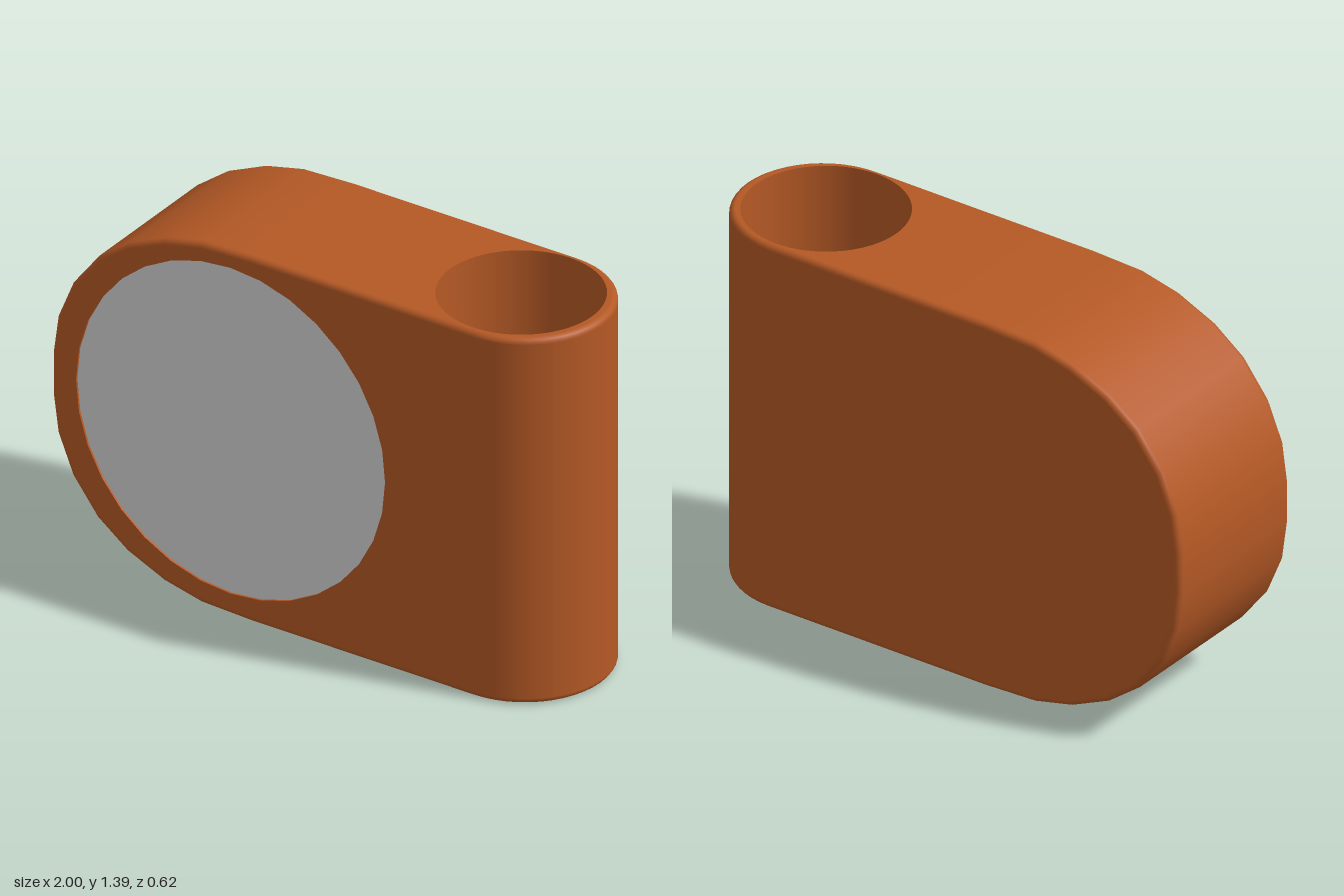
import * as THREE from 'three';

const HEIGHT = 1.39, HALF_DEPTH = 0.31, FILLET = 0.022, SPLIT_X = 0.365;
const FACE = { x: -0.28, y: 0.705, r: 0.62, recess: 0.008, sides: 32 };
const BORE = { x: 0.675, r: 0.285, floor: 0.06, sides: 64 };

// Outward 2D normals of an open counter-clockwise path
function pathNormals(path) {
  return path.map((p, i) => {
    const a = path[Math.max(i - 1, 0)], b = path[Math.min(i + 1, path.length - 1)];
    return new THREE.Vector2(b.y - a.y, a.x - b.x).normalize();
  });
}

// Wall along an open path, with rounded edges at both ends of its depth
function filletedWall(path, low, high) {
  const normals = pathNormals(path), steps = 4, profile = [];
  for (const end of [-1, 1]) {
    for (let k = 0; k <= steps; k++) {
      const t = (end < 0 ? k - steps : k) / steps * Math.PI / 2;
      const centre = end < 0 ? low + FILLET : high - FILLET;
      profile.push({ out: Math.cos(t), up: Math.sin(t), z: centre + FILLET * Math.sin(t) });
    }
  }
  const pos = [], nor = [], index = [], m = profile.length;
  path.forEach((p, i) => {
    const n = normals[i];
    profile.forEach((q, j) => {
      const inset = FILLET * (1 - q.out);
      pos.push(p.x - n.x * inset, p.y - n.y * inset, q.z);
      nor.push(n.x * q.out, n.y * q.out, q.up);
      if (i < path.length - 1 && j < m - 1) {
        const a = i * m + j, b = a + m;
        index.push(a, b, a + 1, b, b + 1, a + 1);
      }
    });
  });
  const g = new THREE.BufferGeometry();
  g.setAttribute('position', new THREE.Float32BufferAttribute(pos, 3));
  g.setAttribute('normal', new THREE.Float32BufferAttribute(nor, 3));
  g.setIndex(index);
  return g;
}

// Flat cap inside the fillet, optionally with a round hole
function cap(path, z, up, hole) {
  const normals = pathNormals(path);
  const shape = new THREE.Shape(path.map((p, i) => p.clone().addScaledVector(normals[i], -FILLET)));
  if (hole) {
    const ring = [];
    for (let i = 0; i < hole.sides; i++) {
      const t = -i / hole.sides * Math.PI * 2;
      ring.push(new THREE.Vector2(hole.x + hole.r * Math.cos(t), (hole.y || 0) + hole.r * Math.sin(t)));
    }
    shape.holes.push(new THREE.Path(ring));
  }
  const g = new THREE.ShapeGeometry(shape);
  if (!up) {
    g.setIndex(Array.from(g.index.array).reverse());
    const n = g.attributes.normal;
    for (let i = 0; i < n.count; i++) n.setZ(i, -1);
  }
  return g.translate(0, 0, z);
}

export function createModel() {
  const group = new THREE.Group();
  const orange = new THREE.MeshStandardMaterial({ color: 0xb55925, side: THREE.DoubleSide });
  orange.name = 'burnt orange';
  const grey = new THREE.MeshStandardMaterial({ color: 0xd8d8d8 });
  grey.name = 'light grey';
  const add = (name, geometry, material = orange, parent = group) => {
    const mesh = new THREE.Mesh(geometry, material);
    mesh.name = name;
    parent.add(mesh);
    return mesh;
  };

  // Round-ended housing, outlined in the front plane
  const upper = [[SPLIT_X, 1.39], [0.1, 1.39], [-0.2, 1.39], [-0.4, 1.382], [-0.55, 1.347],
    [-0.7, 1.28], [-0.82, 1.19], [-0.92, 1.06], [-0.98, 0.915], [-1, 0.77]];
  const outline = [...upper, ...upper.slice().reverse().map(([x, y]) => [x, HEIGHT - y])]
    .map(([x, y]) => new THREE.Vector2(x, y));
  const housing = new THREE.Group();
  housing.name = 'roundHousing';
  group.add(housing);
  add('housingRim', filletedWall(outline, -HALF_DEPTH, HALF_DEPTH), orange, housing);
  add('housingFront', cap(outline, HALF_DEPTH, true, FACE), orange, housing);
  add('housingBack', cap(outline, -HALF_DEPTH, false), orange, housing);

  // Slightly recessed round face
  const lip = new THREE.CylinderGeometry(FACE.r, FACE.r, FACE.recess, FACE.sides, 1, true);
  lip.rotateX(Math.PI / 2);
  add('faceLip', lip, orange, housing).position.set(FACE.x, FACE.y, HALF_DEPTH - FACE.recess / 2);
  add('roundFace', new THREE.CircleGeometry(FACE.r, FACE.sides), grey, housing)
    .position.set(FACE.x, FACE.y, HALF_DEPTH - FACE.recess);

  // Upright holder with a half-round end, outlined in plan
  const plan = [new THREE.Vector2(SPLIT_X, -HALF_DEPTH)];
  for (let i = 0; i <= 24; i++) {
    const t = (i / 24 - 0.5) * Math.PI;
    plan.push(new THREE.Vector2(0.69 + HALF_DEPTH * Math.cos(t), HALF_DEPTH * Math.sin(t)));
  }
  plan.push(new THREE.Vector2(SPLIT_X, HALF_DEPTH));
  const holder = new THREE.Group();
  holder.name = 'uprightHolder';
  holder.rotation.x = -Math.PI / 2;
  group.add(holder);
  add('holderWall', filletedWall(plan, 0, HEIGHT), orange, holder);
  add('holderTop', cap(plan, HEIGHT, true, BORE), orange, holder);
  add('holderBase', cap(plan, 0, false), orange, holder);

  // Deep round bore, open at the top
  const depth = HEIGHT - BORE.floor;
  add('boreWall', new THREE.CylinderGeometry(BORE.r, BORE.r, depth, BORE.sides, 1, true))
    .position.set(BORE.x, BORE.floor + depth / 2, 0);
  const floor = new THREE.CircleGeometry(BORE.r, BORE.sides).rotateX(-Math.PI / 2);
  add('boreFloor', floor).position.set(BORE.x, BORE.floor, 0);

  return group;
}
